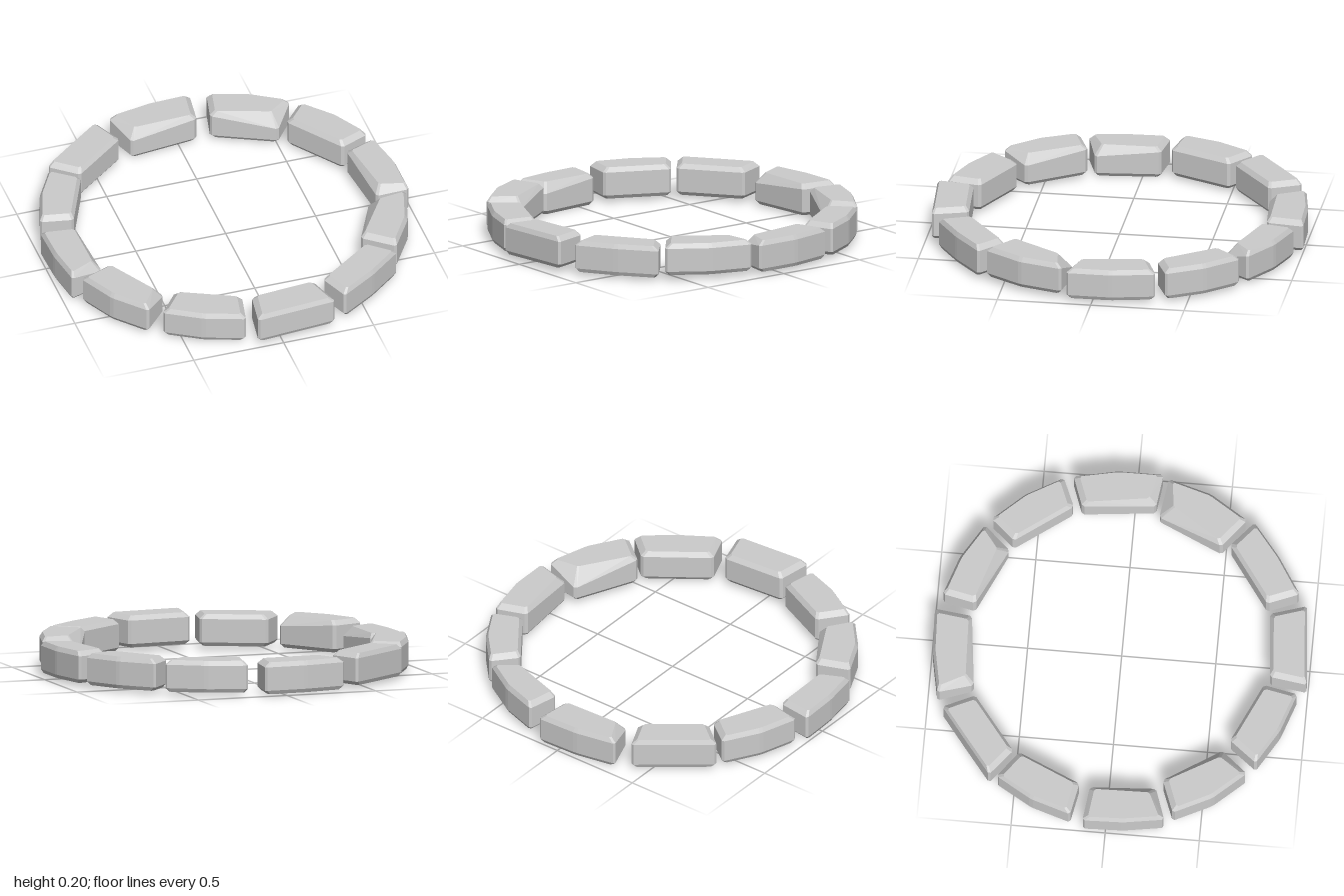
import * as THREE from 'three';
import { ConvexGeometry } from 'three/addons/geometries/ConvexGeometry.js';

// Ring stones: start and end angle (degrees from +x towards +z), radius of the outer corners,
// of the outer middle and of the inner corners, and the chip cut from one inner top corner
// (positive at the start, negative at the end)
const STONES = [
  [250, 277, 1.01, 1.00, 0.81, 0.03],
  [282, 308, 0.99, 0.99, 0.81, -0.05],
  [311, 337, 0.99, 0.99, 0.82, 0],
  [340, 368, 0.985, 0.98, 0.81, -0.02],
  [10, 38.5, 0.965, 0.97, 0.765, 0.06],
  [40.5, 68, 0.985, 0.97, 0.805, 0],
  [72.5, 98, 1.005, 0.98, 0.805, 0],
  [101.5, 128, 0.97, 0.967, 0.785, 0],
  [132.5, 159, 0.98, 0.985, 0.79, 0.03],
  [162, 187, 1.0, 0.99, 0.81, 0.03],
  [191, 217, 0.99, 0.99, 0.81, 0],
  [219, 245, 1.01, 0.985, 0.825, 0],
];
const BOTTOM = 0.02, HEIGHT = 0.17;
const LIFT = { 0: -0.01, 4: 0.01, 6: 0.01, 9: -0.02 }; // stones set a little lower or higher

const polar = (degrees, radius) => {
  const a = THREE.MathUtils.degToRad(degrees);
  return new THREE.Vector2(Math.cos(a) * radius, Math.sin(a) * radius);
};

// Hull of four levels: inset bottom, two full-size side levels, inset top
function stoneGeometry([start, end, outer, middle, inner, chip], y0) {
  const mid = (start + end) / 2;
  const plan = [
    polar(start, outer), polar(mid, middle), polar(end, outer),
    polar(end, inner), polar(start, inner),
  ];
  const chipped = chip > 0 ? 4 : 3;
  const centre = polar(mid, (outer + inner) / 2);
  const radial = polar(mid, 1);
  const along = new THREE.Vector2(-radial.y, radial.x);

  // Move a point towards the stone's middle, along and across the block
  const inset = (p, dAlong, dRadial) => {
    const d = p.clone().sub(centre);
    return centre.clone()
      .addScaledVector(along, d.dot(along) * (1 - dAlong / 0.22))
      .addScaledVector(radial, d.dot(radial) * (1 - dRadial / 0.1));
  };

  const points = [];
  const add = (p, y) => points.push(new THREE.Vector3(p.x, y, p.y));
  plan.forEach((corner, i) => {
    const cut = i === chipped ? Math.abs(chip) : 0;
    // Two points beside each corner chamfer the upright edge
    for (const step of [1, plan.length - 1]) {
      const toNext = plan[(i + step) % plan.length].clone().sub(corner).normalize();
      const p = corner.clone().addScaledVector(toNext, 0.012);
      add(inset(p, 0.02, 0.012), y0);
      add(p, y0 + 0.02);
      add(p, y0 + HEIGHT - 0.025 - cut);
      add(inset(p, 0.03 + cut * 0.5, 0.016 + cut * 0.6), y0 + HEIGHT);
    }
  });
  return new ConvexGeometry(points);
}

export function createModel() {
  const ring = new THREE.Group();
  ring.name = 'stoneRing';
  const material = new THREE.MeshStandardMaterial({ color: 0xcccccc, flatShading: true });
  STONES.forEach((stone, i) => {
    const mesh = new THREE.Mesh(stoneGeometry(stone, BOTTOM + (LIFT[i] ?? 0)), material);
    mesh.name = `stone${i + 1}`;
    ring.add(mesh);
  });
  return ring;
}
